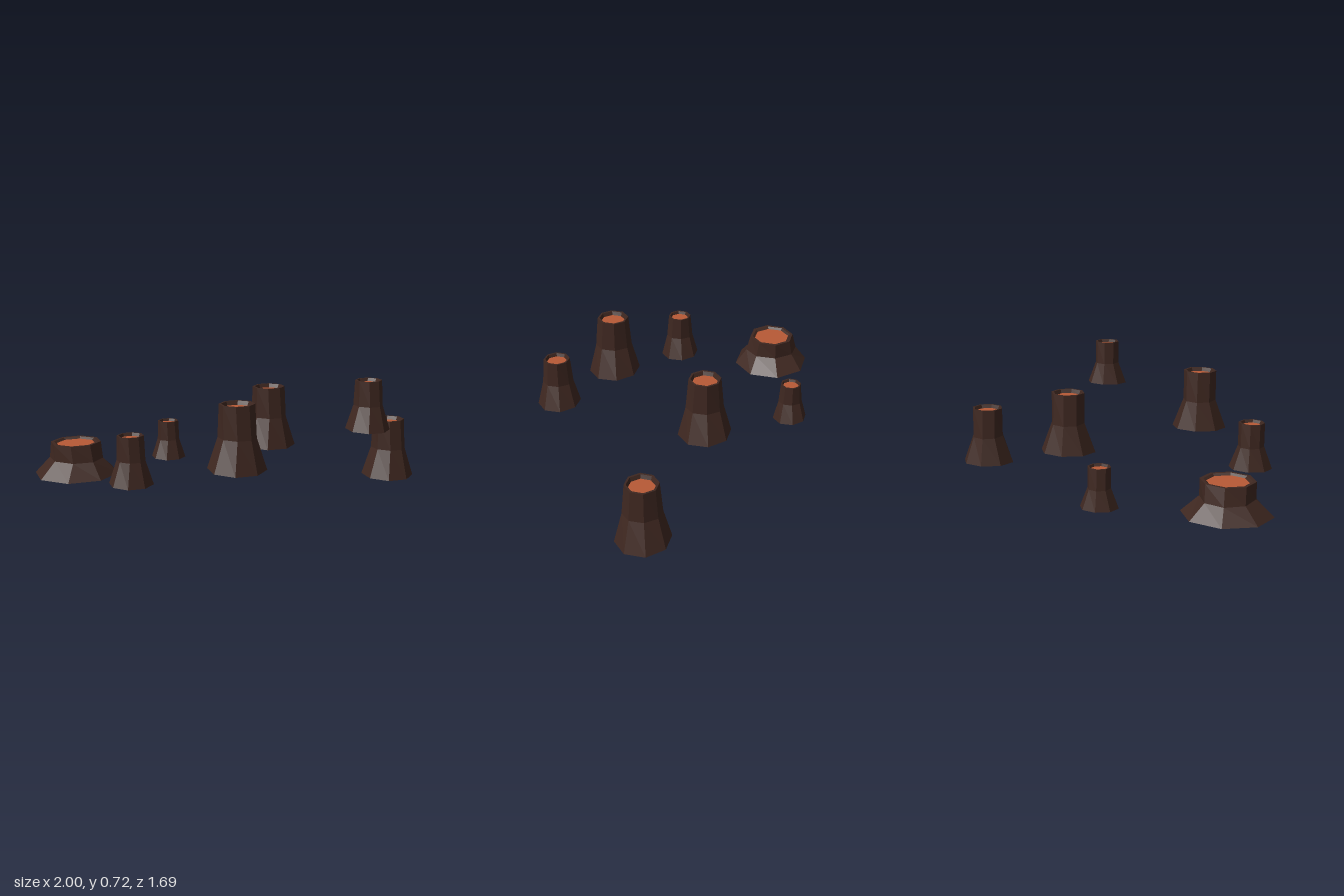
import * as THREE from 'three';

const bark = new THREE.MeshStandardMaterial({ color: 0x3e2720, flatShading: true });
const core = new THREE.MeshStandardMaterial({ color: 0xb85a36, flatShading: true });

const SIDES = 8;
const SINK = 0.94; // height of the recessed core, as a share of the stump height

// Rings of the trunk from the underside to the hollow: [x radius, z radius, height]
const RINGS = [
  [0, 0, 0],
  [1, 0.95, 0],
  [0.6, 0.67, 0.5],
  [0.6, 0.57, 1],
  [0.52, 0.5, 1],
  [0.46, 0.45, SINK],
];

// Flared eight-sided trunk, slightly oval per ring, with a gently tilted foot
function trunkGeometry() {
  const profile = RINGS.map(([rx, , y]) => new THREE.Vector2(rx, y));
  const geo = new THREE.LatheGeometry(profile, SIDES);
  const pos = geo.attributes.position;
  for (let i = 0; i < pos.count; i++) {
    const [rx, rz, y] = RINGS[i % RINGS.length];
    const z = rx > 0 ? pos.getZ(i) * rz / rx : 0;
    pos.setZ(i, z);
    if (y === 0) pos.setY(i, 0.02 - 0.02 * z);
  }
  geo.computeVertexNormals();
  return geo;
}

// Flat disc closing the hollow at the top
function coreGeometry() {
  const [rx, rz, y] = RINGS[RINGS.length - 1];
  return new THREE.CircleGeometry(1, SIDES).rotateX(-Math.PI / 2).scale(rx, 1, rz).translate(0, y, 0);
}

// Position of the foot, base radius and height of each stump
const STUMPS = [
  { name: 'wideStump', at: [-0.76, 0.13, -0.62], radius: 0.24, height: 0.185 },
  { name: 'smallStump', at: [-0.095, 0.108, -0.61], radius: 0.104, height: 0.227 },
  { name: 'mediumStumpRight', at: [-0.82, 0.195, -0.035], radius: 0.12, height: 0.265 },
  { name: 'tallStumpCentre', at: [0.215, 0.23, -0.06], radius: 0.159, height: 0.35 },
  { name: 'tallStumpRight', at: [-0.47, 0.292, 0.4], radius: 0.159, height: 0.35 },
  { name: 'tallStumpLeft', at: [0.838, 0.004, 0.338], radius: 0.159, height: 0.35 },
  { name: 'mediumStumpFront', at: [0.167, 0.46, 0.73], radius: 0.121, height: 0.267 },
];

export function createModel() {
  const model = new THREE.Group();
  model.name = 'stumps';
  const trunkGeo = trunkGeometry();
  const coreGeo = coreGeometry();

  for (const { name, at, radius, height } of STUMPS) {
    const stump = new THREE.Group();
    stump.name = name;
    const trunk = new THREE.Mesh(trunkGeo, bark);
    trunk.name = 'trunk';
    const top = new THREE.Mesh(coreGeo, core);
    top.name = 'core';
    stump.add(trunk, top);
    stump.scale.set(radius, height, radius);
    stump.position.set(...at);
    model.add(stump);
  }
  return model;
}
